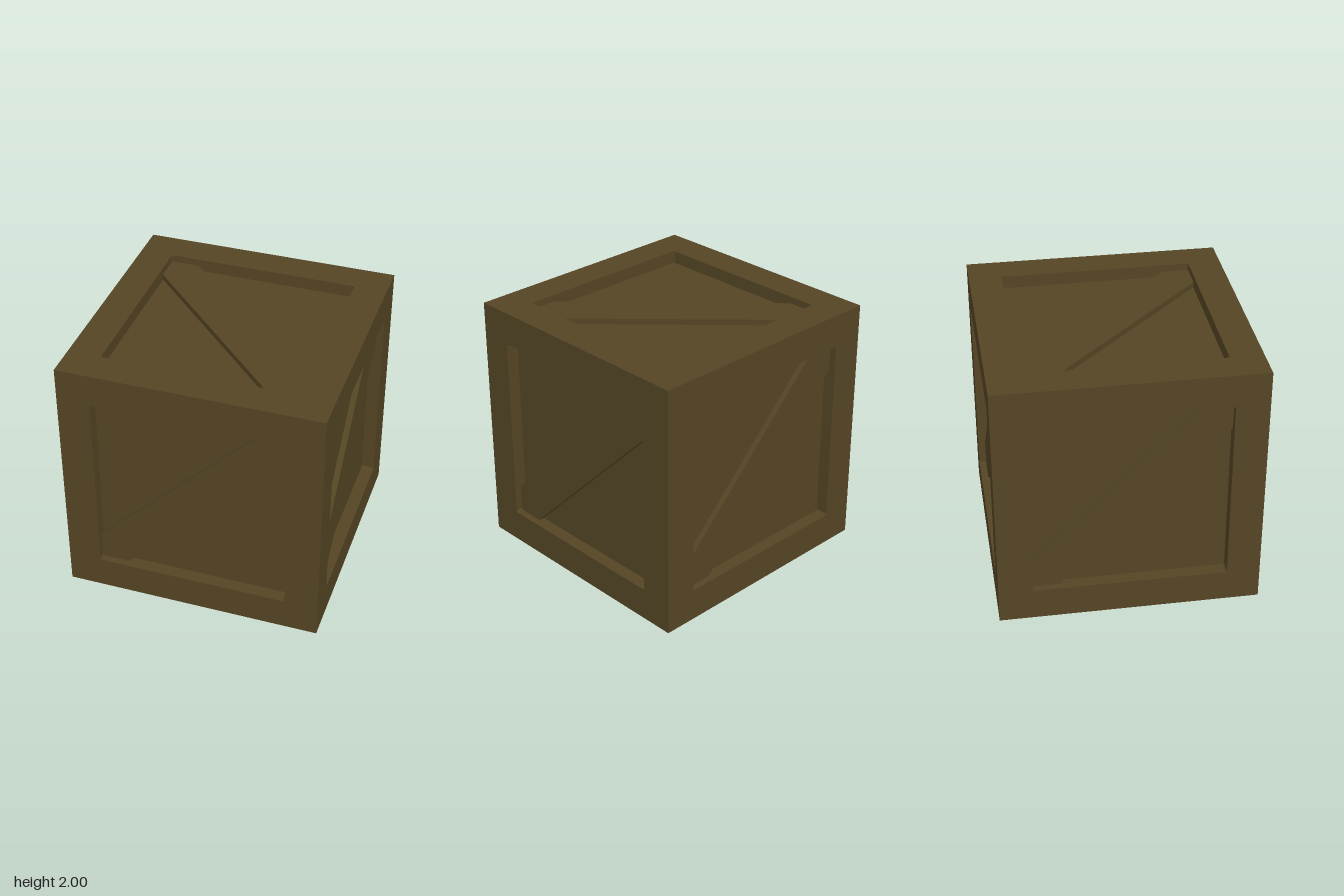
import * as THREE from 'three';

const OUT = 1, IN = 0.745, CORE = 0.9, ROUND = 0.012, CUT = 0.215;

// Square frame with a slightly rounded opening; its back edge is mitred to meet the neighbours
function frameGeometry() {
  const shape = new THREE.Shape([[-OUT, -OUT], [OUT, -OUT], [OUT, OUT], [-OUT, OUT]]
    .map(([x, y]) => new THREE.Vector2(x, y)));
  const a = IN, b = IN - ROUND;
  shape.holes.push(new THREE.Path([[-b, -a], [-a, -b], [-a, b], [-b, a], [b, a], [a, b], [a, -b], [b, -a]]
    .map(([x, y]) => new THREE.Vector2(x, y))));
  const geo = new THREE.ExtrudeGeometry(shape, { depth: OUT - CORE, bevelEnabled: false });
  const p = geo.attributes.position;
  for (let i = 0; i < p.count; i++) {
    if (p.getZ(i) < 0.01 && Math.abs(p.getX(i)) > 0.99) {
      p.setXY(i, Math.sign(p.getX(i)) * CORE, Math.sign(p.getY(i)) * CORE);
    }
  }
  geo.translate(0, 0, CORE);
  geo.computeVertexNormals();
  return geo;
}

// Diagonal board, trimmed to the corners of the opening
function braceGeometry() {
  const a = IN, c = IN - CUT;
  const shape = new THREE.Shape([[-a, -a], [-c, -a], [a, c], [a, a], [c, a], [-a, -c]]
    .map(([x, y]) => new THREE.Vector2(x, y)));
  return new THREE.ExtrudeGeometry(shape, { depth: 0.045, bevelEnabled: false }).translate(0, 0, CORE);
}

export function createModel() {
  const crate = new THREE.Group();
  crate.name = 'crate';
  const wood = new THREE.MeshStandardMaterial({ color: 0x544524 });
  wood.name = 'dark wood';
  const add = (parent, geo, name) => {
    const mesh = new THREE.Mesh(geo, wood);
    mesh.name = name;
    parent.add(mesh);
    return mesh;
  };

  // Recessed panels on all six sides
  add(crate, new THREE.BoxGeometry(2 * CORE, 2 * CORE, 2 * CORE), 'panels').position.y = 1;

  // Frame and brace on each side
  const frame = frameGeometry(), brace = braceGeometry(), q = Math.PI / 2;
  const sides = {
    front: [0, 0, 0], left: [0, q, 0], back: [0, 2 * q, 0], right: [0, -q, 0],
    top: [-q, 0, q], bottom: [q, 0, q],
  };
  for (const [name, rotation] of Object.entries(sides)) {
    const side = new THREE.Group();
    side.name = name + 'Side';
    side.position.y = 1;
    side.rotation.set(...rotation);
    add(side, frame, name + 'Frame');
    add(side, brace, name + 'Brace');
    crate.add(side);
  }
  return crate;
}
